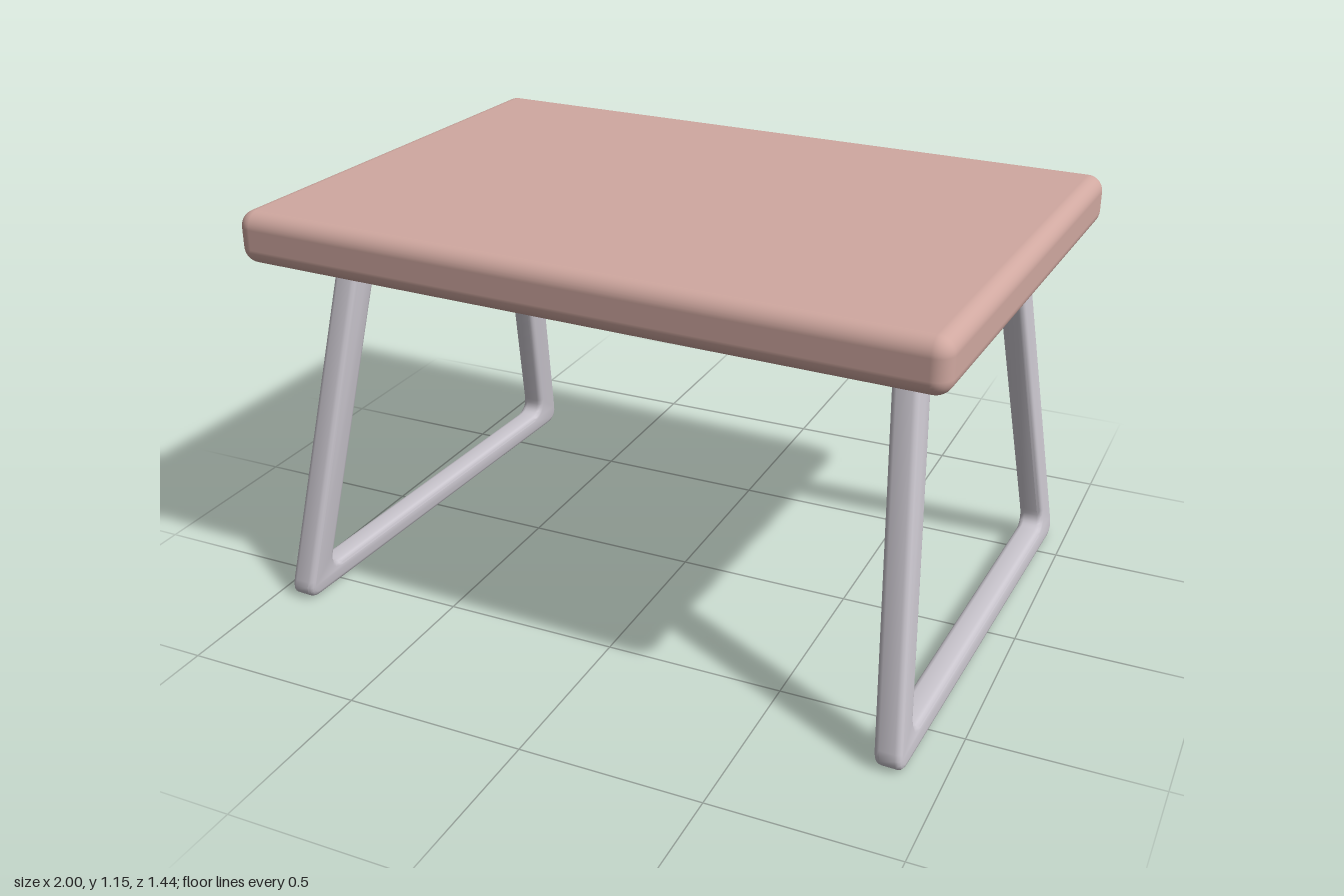
import * as THREE from 'three';
import { toCreasedNormals } from 'three/addons/utils/BufferGeometryUtils.js';
import { RoundedBoxGeometry } from 'three/addons/geometries/RoundedBoxGeometry.js';

const BEVEL = 0.016;

// Closed outline through corner points, each corner rounded by its radius
function roundedPath(path, corners) {
  const n = corners.length;
  corners.forEach(([x, y, r], i) => {
    const p = new THREE.Vector2(x, y);
    const toward = ([qx, qy]) => new THREE.Vector2(qx, qy).sub(p).setLength(r).add(p);
    const a = toward(corners[(i + n - 1) % n]);
    const b = toward(corners[(i + 1) % n]);
    if (i === 0) path.moveTo(a.x, a.y);
    else path.lineTo(a.x, a.y);
    path.quadraticCurveTo(p.x, p.y, b.x, b.y);
  });
  path.closePath();
  return path;
}

// Trapezoid leg loop, sheared so that it splays outward toward the floor
function legGeometry(side) {
  const shape = roundedPath(new THREE.Shape(), [
    [-0.69, 0, 0.06], [0.69, 0, 0.06], [0.45, 1.0, 0.05], [-0.45, 1.0, 0.05],
  ]);
  shape.holes.push(roundedPath(new THREE.Path(), [
    [-0.583, 0.067, 0.05], [-0.367, 0.94, 0.04], [0.367, 0.94, 0.04], [0.583, 0.067, 0.05],
  ]));
  const width = 0.072;
  let g = new THREE.ExtrudeGeometry(shape, {
    depth: width - 2 * BEVEL, bevelEnabled: true, bevelThickness: BEVEL,
    bevelSize: BEVEL, bevelOffset: -BEVEL, bevelSegments: 3, curveSegments: 6,
  });
  g.translate(0, 0, BEVEL - width / 2);
  g.rotateY(-Math.PI / 2);
  const pos = g.attributes.position;
  for (let i = 0; i < pos.count; i++) {
    pos.setX(i, pos.getX(i) + side * (0.892 - 0.092 * pos.getY(i)));
  }
  return toCreasedNormals(g, 0.7);
}

export function createModel() {
  const topMaterial = new THREE.MeshStandardMaterial({ color: 0xd0a8a0 });
  topMaterial.name = 'dusty pink';
  const legMaterial = new THREE.MeshStandardMaterial({ color: 0xcac6ce });
  legMaterial.name = 'light grey';

  const model = new THREE.Group();
  model.name = 'foldingTable';
  const add = (name, geometry, material) => {
    const mesh = new THREE.Mesh(geometry, material);
    mesh.name = name;
    model.add(mesh);
    return mesh;
  };

  // Thick table top with soft edges
  add('tableTop', new RoundedBoxGeometry(1.954, 0.145, 1.364, 5, 0.045), topMaterial)
    .position.y = 1.0825;

  // Mounting rail and leg loop on each side
  for (const [label, side] of [['left', 1], ['right', -1]]) {
    add(label + 'Rail', new THREE.BoxGeometry(0.08, 0.072, 0.94), legMaterial)
      .position.set(side * 0.802, 0.976, 0);
    add(label + 'LegFrame', legGeometry(side), legMaterial);
  }

  // The whole table stands slightly turned
  model.rotation.y = -0.04;
  return model;
}
